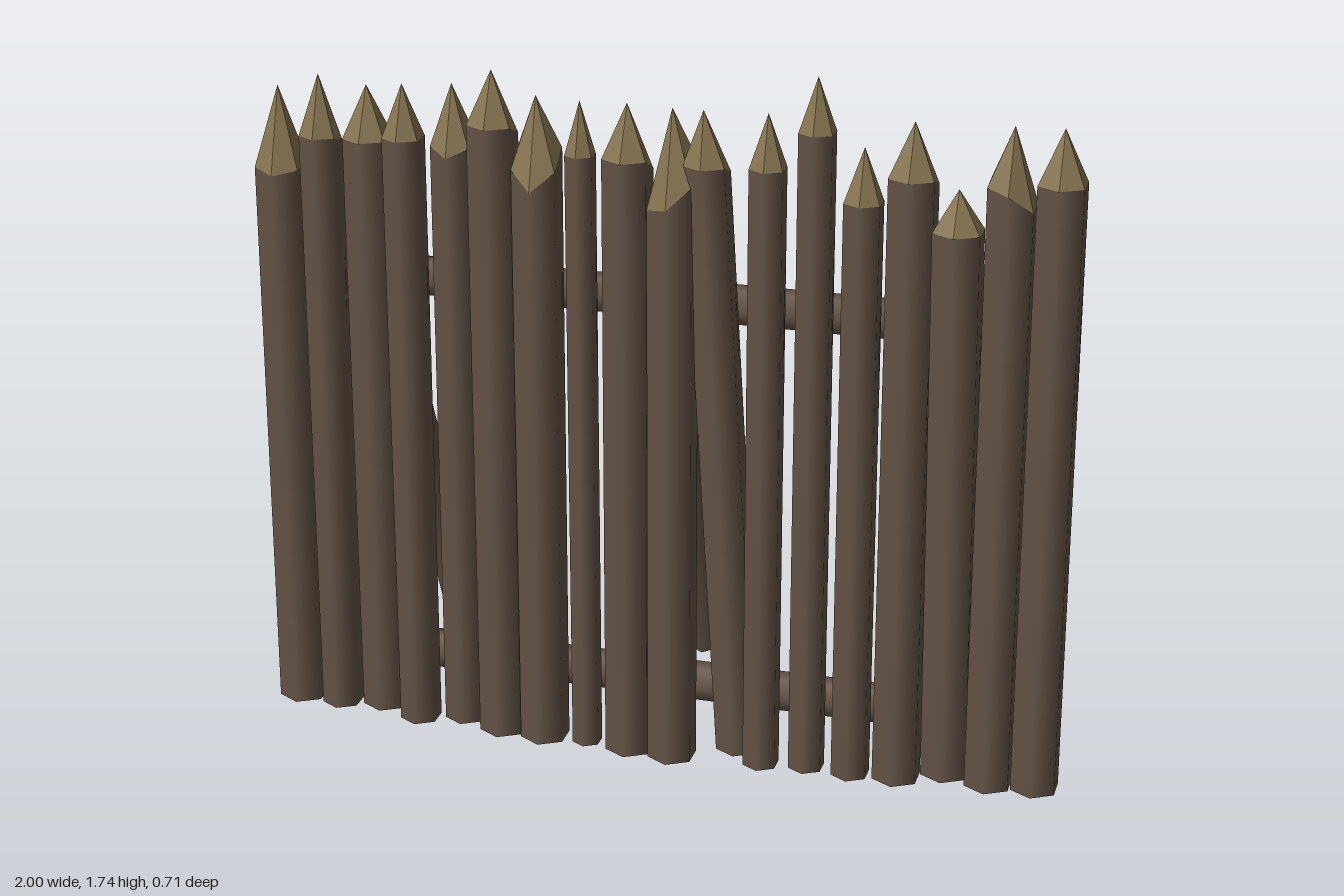
import * as THREE from 'three';

const bark = new THREE.MeshStandardMaterial({ color: 0x655447 });
bark.name = 'bark brown';
const cutWood = new THREE.MeshStandardMaterial({ color: 0x857350 });
cutWood.name = 'cut wood tan';

// Stakes stand at an even pitch; each entry gives only what differs from the defaults:
// z at the top, width across flats, tip height, point length, lean of the base in x and z,
// and how far the sharpened cut runs down at the front, back and side
const pitch = 0.1112;
const defaults = {
  width: 0.107, tip: 1.65, point: 0.13, leanX: 0, leanZ: 0.013, front: 0, back: 0, side: 0,
};
const stakes = [
  { z: 0.21, width: 0.11, tip: 1.61, point: 0.19, front: 0.02 },
  { z: 0.225, width: 0.09, point: 0.15, back: 0.03 },
  { z: 0.2, tip: 1.625 },
  { z: 0.255, width: 0.09 },
  { z: 0.22, width: 0.095, front: 0.04 },
  { z: 0.255, tip: 1.7, back: 0.05 },
  { z: 0.265, front: 0.09 },
  { z: 0.28, width: 0.065, leanZ: 0 },
  { z: 0.27, back: 0.06 },
  { z: 0.28, front: 0.1, side: -0.07 },
  { z: 0.28, width: 0.1, leanX: 0.075, leanZ: -0.07, back: 0.04 },
  { z: 0.265, width: 0.08 },
  { z: 0.25, width: 0.08, tip: 1.74 },
  { z: 0.255, width: 0.085, tip: 1.585 },
  { z: 0.24, back: 0.04 },
  { z: 0.275, width: 0.11, tip: 1.51, point: 0.1, leanZ: -0.075 },
  { z: 0.215, front: 0.02, side: 0.06 },
  { z: 0.205 },
];

// Sharpened hexagonal stake, leaning from its base to its tip
function makeStake(spec, index) {
  const { z: zTop, width, tip, point, leanX, leanZ, front, back, side } = { ...defaults, ...spec };
  const r = width / Math.sqrt(3);
  const shoulder = tip - point;
  const xMiddle = (index - (stakes.length - 1) / 2) * pitch;
  const warp = (geo) => {
    const p = geo.attributes.position;
    for (let i = 0; i < p.count; i++) {
      const x = p.getX(i), y = p.getY(i), z = p.getZ(i), t = y / tip;
      const atShoulder = Math.abs(y - shoulder) < 1e-4;
      const drop = atShoulder
        ? (front * Math.max(0, z) + back * Math.max(0, -z) + Math.max(0, side * x)) / r
        : 0;
      p.setXYZ(i, x + xMiddle + leanX * (0.5 - t), y - drop, z + zTop + leanZ * (1 - t));
    }
    return geo;
  };
  const body = new THREE.CylinderGeometry(r, r, shoulder, 6).translate(0, shoulder / 2, 0);
  const cone = new THREE.ConeGeometry(r, point, 6, 1, true).translate(0, shoulder + point / 2, 0);
  const facets = warp(cone).toNonIndexed();
  facets.computeVertexNormals();

  const bodyMesh = new THREE.Mesh(warp(body), bark);
  bodyMesh.name = 'stakeBody';
  const tipMesh = new THREE.Mesh(facets, cutWood);
  tipMesh.name = 'stakeTip';
  const group = new THREE.Group();
  group.name = 'stake';
  group.add(bodyMesh, tipMesh);
  return group;
}

// Straight hexagonal log between two points
function makeLog(name, a, b, r, endMaterial) {
  const from = new THREE.Vector3(...a), to = new THREE.Vector3(...b);
  const dir = to.clone().sub(from);
  const mesh = new THREE.Mesh(
    new THREE.CylinderGeometry(r, r, dir.length(), 6),
    [bark, endMaterial, endMaterial]
  );
  mesh.position.copy(from).add(to).multiplyScalar(0.5);
  mesh.quaternion.setFromUnitVectors(new THREE.Vector3(0, 1, 0), dir.normalize());
  mesh.name = name;
  return mesh;
}

export function createModel() {
  const model = new THREE.Group();
  model.name = 'palisade';

  // Row of stakes
  stakes.forEach((spec, i) => model.add(makeStake(spec, i)));

  // Cross rails behind the stakes
  for (const [name, y] of [['upperRail', 1.115], ['lowerRail', 0.1]]) {
    model.add(makeLog(name, [-0.925, y, 0.08], [0.935, y, 0.08], 0.049, cutWood));
  }

  // Slanted props at the back
  const props = [
    ['rightProp', -0.745, -0.7, -0.305],
    ['middleProp', -0.01, -0.01, -0.27],
    ['leftProp', 0.73, 0.685, -0.305],
  ];
  for (const [name, xTop, xBase, zBase] of props) {
    model.add(makeLog(name, [xBase, 0.04, zBase], [xTop, 1.09, 0.095], 0.05, bark));
  }
  return model;
}
